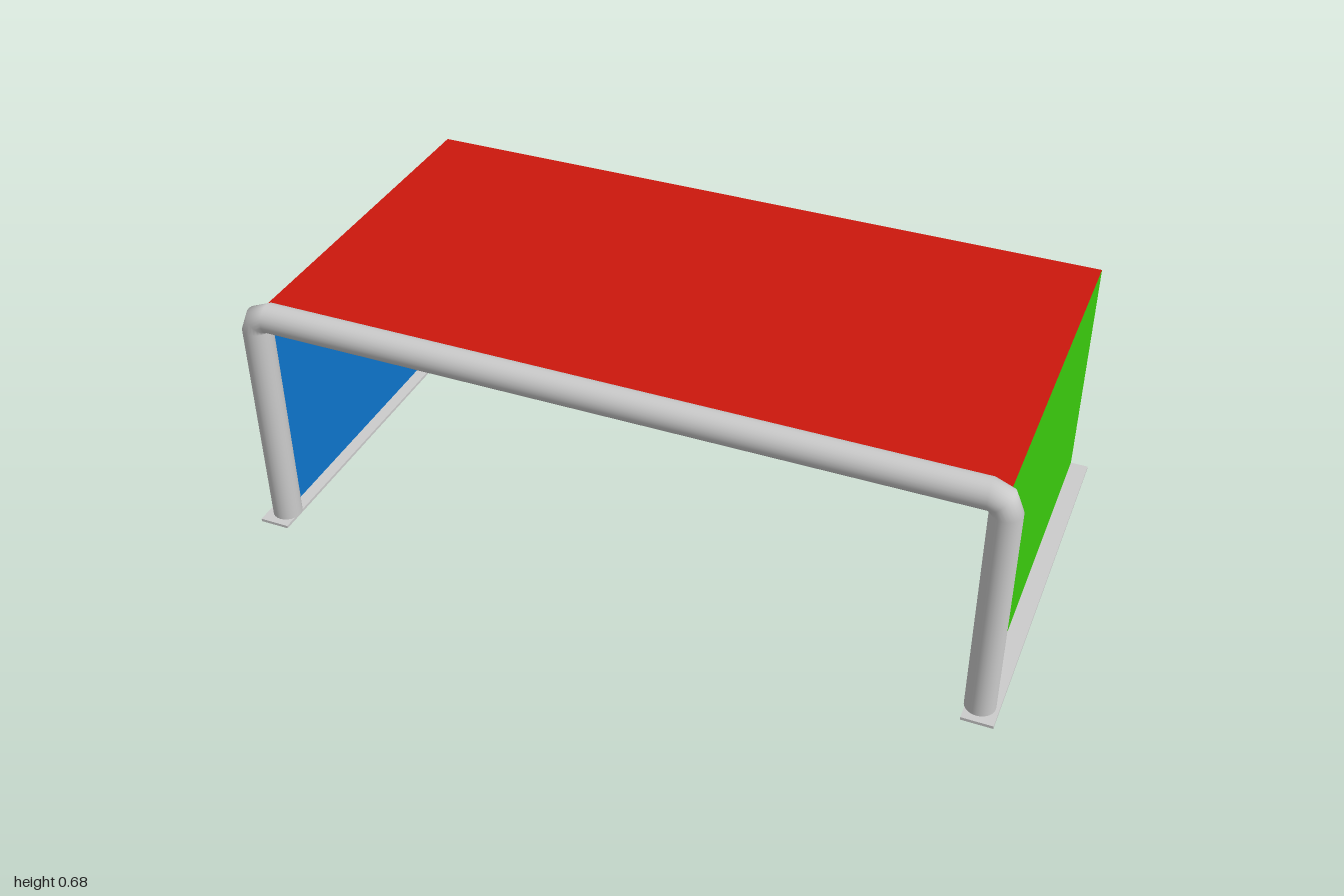
import * as THREE from 'three';

const W = 0.953;        // half width between post centres
const TOP = 0.638;      // height of the crossbar centre
const FRONT = 0.473;    // depth of the goal mouth
const BACK = -0.53;     // depth of the back panel
const R = 0.0385;       // pipe radius, also the bend radius
const BASE = 0.008;     // thickness of the ground frame

export function createModel() {
  const model = new THREE.Group();
  const grey = new THREE.MeshStandardMaterial({ color: 0xcccccc });

  const add = (name, geometry, material, x, y, z) => {
    const mesh = new THREE.Mesh(geometry, material);
    mesh.name = name;
    mesh.position.set(x, y, z);
    model.add(mesh);
    return mesh;
  };

  // Flat U-shaped ground frame, open at the front
  const outline = [[-1, -0.53], [-0.92, -0.53], [-0.92, 0.45], [0.92, 0.45],
    [0.92, -0.53], [1, -0.53], [1, 0.529], [-1, 0.529]];
  const shape = new THREE.Shape(outline.map(([x, y]) => new THREE.Vector2(x, y)));
  const baseGeometry = new THREE.ExtrudeGeometry(shape, { depth: BASE, bevelEnabled: false });
  baseGeometry.rotateX(-Math.PI / 2);
  add('groundFrame', baseGeometry, grey, 0, 0, 0);

  // Pipe frame: two posts, two bends and a crossbar
  const postHeight = TOP - R - BASE;
  for (const [side, s] of [['left', 1], ['right', -1]]) {
    add(side + 'Post', new THREE.CylinderGeometry(R, R, postHeight, 24, 1, true), grey,
      s * W, BASE + postHeight / 2, FRONT);
    const bend = add(side + 'Bend', new THREE.TorusGeometry(R, R, 24, 2, Math.PI / 2), grey,
      s * (W - R), TOP - R, FRONT);
    if (s < 0) bend.rotation.z = Math.PI / 2;
  }
  const crossbar = add('crossbar', new THREE.CylinderGeometry(R, R, 2 * (W - R), 24, 1, true),
    grey, 0, TOP, FRONT);
  crossbar.rotation.z = Math.PI / 2;

  // Thin net panels
  const panel = (name, color, width, height, x, y, z) => add(name,
    new THREE.PlaneGeometry(width, height),
    new THREE.MeshStandardMaterial({ color, side: THREE.DoubleSide }), x, y, z);
  const depth = FRONT - BACK;
  const midZ = (FRONT + BACK) / 2;
  panel('backNet', 0x9910cc, 2 * W, TOP, 0, TOP / 2, BACK);
  panel('topNet', 0xcc170d, 2 * W, depth, 0, TOP, midZ).rotation.x = -Math.PI / 2;
  const netHeight = TOP - BASE / 2;
  const netY = (TOP + BASE / 2) / 2;
  panel('leftNet', 0x3acc0d, depth, netHeight, W, netY, midZ).rotation.y = Math.PI / 2;
  panel('rightNet', 0x0d75cc, depth, netHeight, -W, netY, midZ).rotation.y = -Math.PI / 2;

  return model;
}
